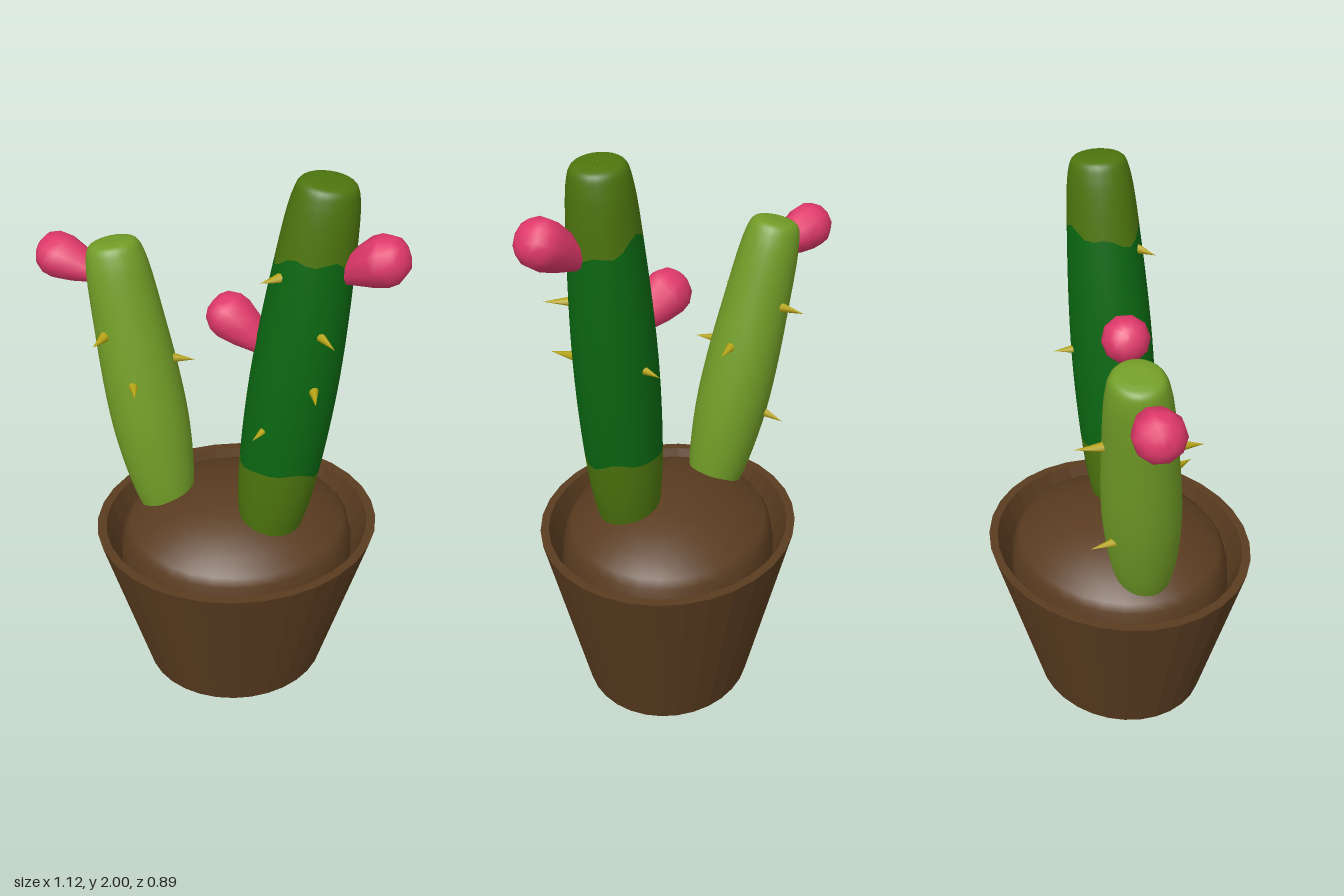
import * as THREE from 'three';
import { ParametricGeometry } from 'three/addons/geometries/ParametricGeometry.js';

const V = (a) => new THREE.Vector3(...a);
const UP = new THREE.Vector3(0, 1, 0);

function material(name, color) {
  const m = new THREE.MeshStandardMaterial({ color });
  m.name = name;
  return m;
}

function mesh(name, geometry, mat) {
  const m = new THREE.Mesh(geometry, mat);
  m.name = name;
  return m;
}

const lathe = (points, sides) =>
  new THREE.LatheGeometry(points.map(([r, y]) => new THREE.Vector2(r, y)), sides);

// Stands an object with its base at one point and its y axis aimed at another
function aim(object, from, to) {
  object.position.copy(V(from));
  object.quaternion.setFromUnitVectors(UP, V(to).sub(V(from)).normalize());
  return object;
}

// One band of a stem; lower and upper give the profile parameter around the stem
function stemBand(profile, length, lower, upper, stacks) {
  const curve = new THREE.CatmullRomCurve3(profile.map(([r, h]) => V([r, h * length, 0])));
  const p = new THREE.Vector3();
  return new ParametricGeometry((u, v, target) => {
    const a = u * Math.PI * 2;
    const lo = lower(a);
    curve.getPoint(Math.min(1, Math.max(0, lo + (upper(a) - lo) * v)), p);
    target.set(Math.sin(a) * p.x, p.y, Math.cos(a) * p.x * 0.94);
  }, 24, stacks);
}

export function createModel() {
  const model = new THREE.Group();
  model.name = 'pottedCacti';

  const brown = material('clay brown', 0x5a3c20);
  const lightGreen = material('light green', 0x729d27);
  const olive = material('olive green', 0x4d750e);
  const darkGreen = material('dark green', 0x0b6712);
  const pink = material('flower pink', 0xdf3869);
  const yellow = material('spine yellow', 0xb5a314);

  // Slightly oval pot with a faceted wall and a rim
  const potGeometry = lathe([
    [0, 0], [0.335, 0], [0.505, 0.635], [0.473, 0.635], [0.418, 0.48],
  ], 32).toNonIndexed();
  potGeometry.computeVertexNormals();
  const pot = mesh('pot', potGeometry, brown);

  // Mounded soil
  const soil = mesh('soil', lathe([
    [0.425, 0.48], [0.42, 0.56], [0.405, 0.62], [0.385, 0.648], [0.32, 0.69],
    [0.24, 0.726], [0.16, 0.748], [0.08, 0.761], [0, 0.765],
  ], 32), brown);
  for (const part of [pot, soil]) {
    part.position.set(0.063, 0, 0.003);
    part.scale.z = 0.882;
    model.add(part);
  }

  const start = () => 0;
  const end = () => 1;

  // Short light cactus
  const shortBase = [-0.165, 0.63, -0.1];
  const shortTop = [-0.307, 1.643, -0.277];
  const shortLength = V(shortTop).distanceTo(V(shortBase));
  const shortProfile = [
    [0.085, 0], [0.112, 0.12], [0.132, 0.3], [0.135, 0.45], [0.123, 0.69],
    [0.098, 0.95], [0.08, 0.99], [0.05, 1], [0.001, 1.001],
  ];
  model.add(aim(mesh('shortCactus',
    stemBand(shortProfile, shortLength, start, end, 40), lightGreen), shortBase, shortTop));

  // Tall cactus in three bands with wavy borders
  const tallBase = [0.152, 0.66, 0.118];
  const tallTop = [0.296, 1.995, 0.15];
  const tallLength = V(tallTop).distanceTo(V(tallBase));
  const tallProfile = [
    [0.1, 0], [0.127, 0.12], [0.141, 0.27], [0.145, 0.5], [0.127, 0.77],
    [0.102, 0.96], [0.085, 0.992], [0.05, 1], [0.001, 1.001],
  ];
  const lowBorder = (a) => 0.231 + 0.009 * Math.sin(3 * a + 2) + 0.005 * Math.sin(5 * a);
  const highBorder = (a) => 0.528 + 0.01 * Math.sin(2 * a + 2) + 0.006 * Math.sin(5 * a);
  const tall = new THREE.Group();
  tall.name = 'tallCactus';
  tall.add(
    mesh('tallCactusBase', stemBand(tallProfile, tallLength, start, lowBorder, 10), olive),
    mesh('tallCactusMiddle', stemBand(tallProfile, tallLength, lowBorder, highBorder, 14), darkGreen),
    mesh('tallCactusTop', stemBand(tallProfile, tallLength, highBorder, end, 24), olive),
  );
  model.add(aim(tall, tallBase, tallTop));

  // Blunt flower buds: base and tip
  const budGeometry = lathe([
    [0.025, -0.02], [0.045, 0.04], [0.066, 0.095], [0.08, 0.15], [0.078, 0.185],
    [0.058, 0.22], [0.03, 0.235], [0, 0.238],
  ], 10);
  [
    [[-0.345, 1.52, -0.275], [-0.55, 1.585, -0.412]],
    [[0.145, 1.4, 0.095], [-0.005, 1.52, -0.015]],
    [[0.335, 1.7, 0.19], [0.485, 1.82, 0.32]],
  ].forEach(([from, to]) => model.add(aim(mesh('flowerBud', budGeometry, pink), from, to)));

  // Spines: base and tip
  [
    [[0.15, 1.705, 0.185], [0.085, 1.7, 0.2]],
    [[0.262, 1.53, 0.255], [0.287, 1.53, 0.345]],
    [[0.25, 1.335, 0.265], [0.237, 1.335, 0.345]],
    [[0.115, 1.17, 0.205], [0.058, 1.163, 0.258]],
    [[0.287, 1.335, 0.03], [0.33, 1.335, -0.04]],
    [[-0.367, 1.355, -0.14], [-0.405, 1.355, -0.09]],
    [[-0.28, 1.19, -0.08], [-0.285, 1.19, -0.01]],
    [[-0.128, 1.235, -0.168], [-0.057, 1.23, -0.15]],
    [[-0.21, 1.365, -0.325], [-0.165, 1.37, -0.405]],
    [[-0.208, 0.955, -0.275], [-0.17, 0.945, -0.352]],
  ].forEach(([from, to]) => {
    const length = V(to).distanceTo(V(from)) + 0.01;
    const cone = new THREE.ConeGeometry(0.018, length, 8).translate(0, length / 2 - 0.01, 0);
    model.add(aim(mesh('spine', cone, yellow), from, to));
  });

  return model;
}
